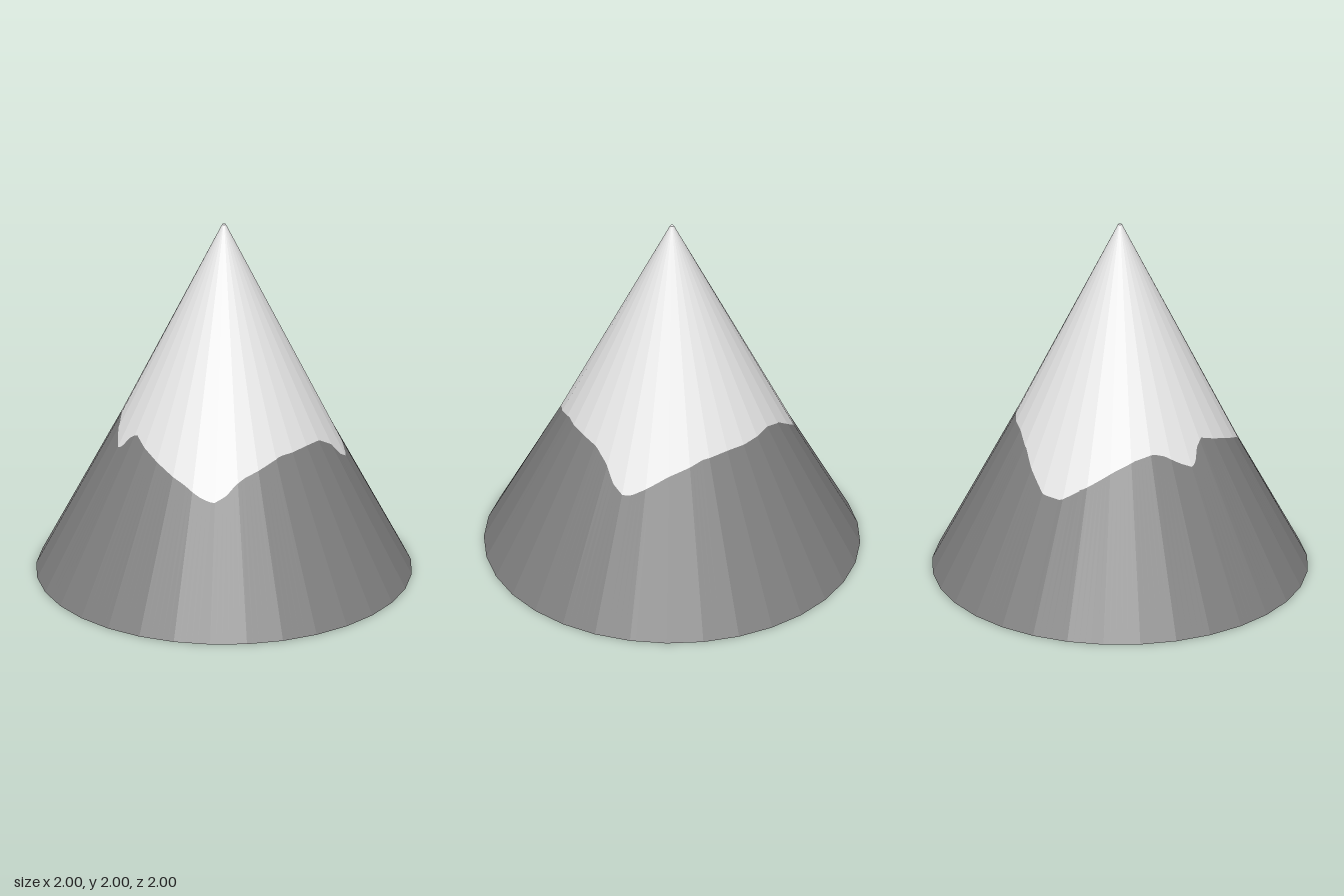
import * as THREE from 'three';

const SIDES = 32, STEPS = 6, HEIGHT = 2, BASE_R = 1, TIP_R = 0.01;
const PINCH = 0.975; // the slope draws in slightly at the snow line

// Snow line: [angle in degrees from +x towards +z, height]
const SNOW_LINE = [
  [-177, 0.715], [-167.5, 0.65], [-158, 0.655], [-146, 0.75], [-137, 0.82], [-124, 0.87],
  [-104, 0.87], [-90, 0.875], [-75, 0.86], [-56, 0.79], [-38, 0.68], [-34, 0.675], [-28, 0.715],
  [-22, 0.795], [-12, 0.855], [0, 0.865], [20, 0.86], [30, 0.825], [41, 0.785], [46, 0.755],
  [51, 0.7], [57, 0.665], [63, 0.685], [72, 0.74], [90, 0.82], [111, 0.9], [116, 0.87],
  [120, 0.81], [123, 0.785], [130, 0.82], [138, 0.87], [145, 0.89], [156, 0.865],
  [168, 0.81], [183, 0.715],
];

function snowHeight(deg) {
  for (let i = 1; i < SNOW_LINE.length; i++) {
    const [a0, h0] = SNOW_LINE[i - 1], [a1, h1] = SNOW_LINE[i];
    if (deg <= a1) return h0 + (h1 - h0) * (deg - a0) / (a1 - a0);
  }
  return SNOW_LINE[0][1];
}

// Point on the faceted cone at a given angle and height
function conePoint(deg, y, scale = 1) {
  const facet = 360 / SIDES, rad = THREE.MathUtils.degToRad;
  const offset = THREE.MathUtils.euclideanModulo(deg, facet) - facet / 2;
  const r = scale * (BASE_R + (TIP_R - BASE_R) * y / HEIGHT)
    * Math.cos(rad(facet / 2)) / Math.cos(rad(offset));
  return [r * Math.cos(rad(deg)), y, r * Math.sin(rad(deg))];
}

const basePoint = (deg) => conePoint(deg, 0);
const snowPoint = (deg) => conePoint(deg, snowHeight(deg), PINCH);
const tipPoint = (deg) => conePoint(deg, HEIGHT);
const centre = (y) => () => [0, y, 0];

// Ring of faces between a lower and an upper edge, each a function of the angle
function ring(name, lower, upper, material) {
  const pos = [], n = SIDES * STEPS;
  for (let i = 0; i < n; i++) {
    const a = -176.25 + 360 * i / n, b = a + 360 / n;
    pos.push(...lower(a), ...upper(a), ...lower(b), ...lower(b), ...upper(a), ...upper(b));
  }
  const geo = new THREE.BufferGeometry();
  geo.setAttribute('position', new THREE.Float32BufferAttribute(pos, 3));
  geo.computeVertexNormals(); // unshared corners keep the facets flat
  const mesh = new THREE.Mesh(geo, material);
  mesh.name = name;
  return mesh;
}

function flatColour(name, color) {
  const material = new THREE.MeshStandardMaterial({ color });
  material.name = name;
  return material;
}

export function createModel() {
  const rock = flatColour('rockGrey', 0x808080);
  const snow = flatColour('snowWhite', 0xeeeeee);
  const under = flatColour('undersidePaleGrey', 0xd6d6d6);

  const group = new THREE.Group();
  group.name = 'mountain';
  group.add(
    ring('underside', centre(0), basePoint, under),
    ring('rockSlope', basePoint, snowPoint, rock),
    ring('snowCap', snowPoint, tipPoint, snow),
    ring('bluntTip', tipPoint, centre(HEIGHT), snow),
  );
  return group;
}
